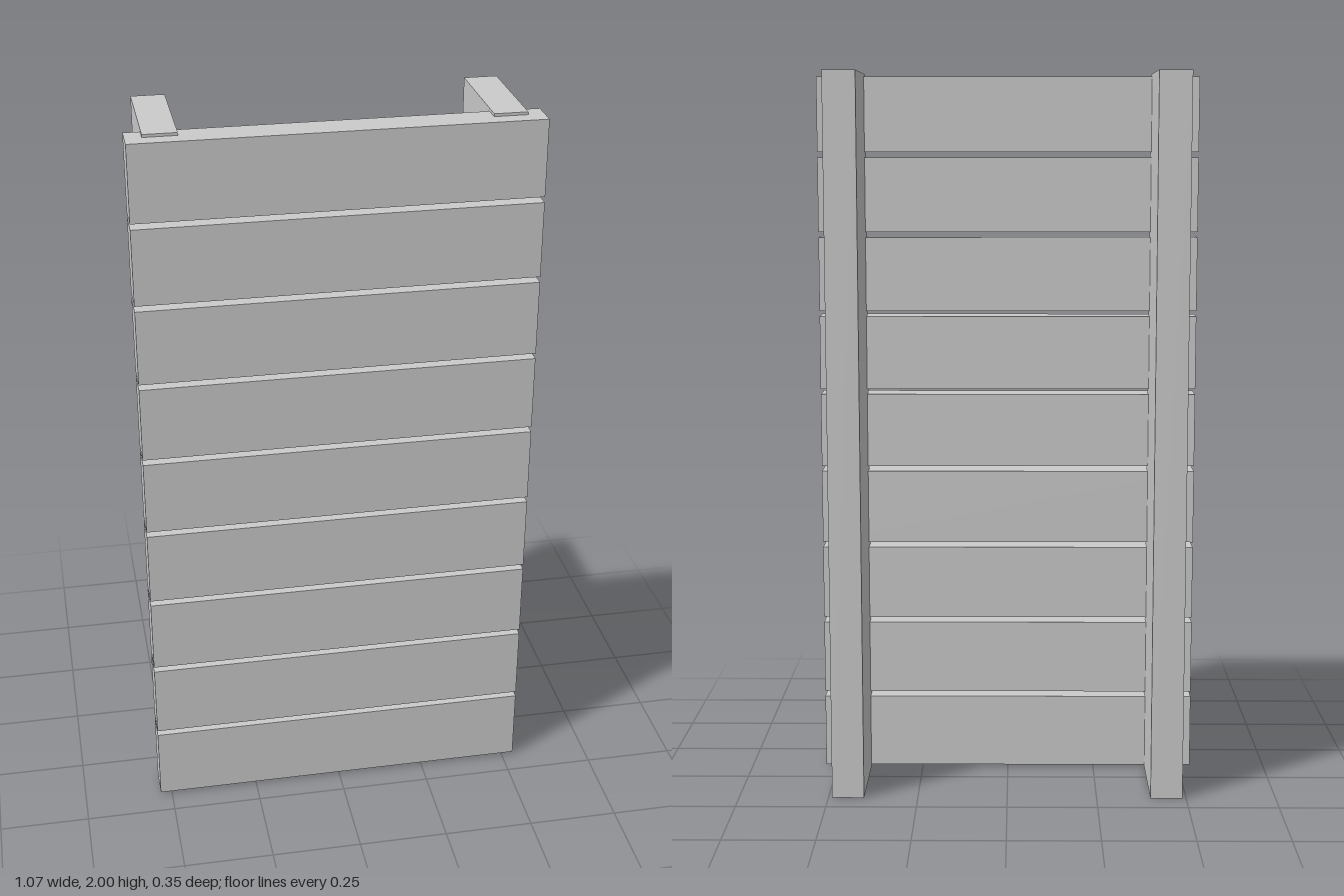
import * as THREE from 'three';

export function createModel() {
  const group = new THREE.Group();
  const material = new THREE.MeshStandardMaterial({ color: 0xcccccc, flatShading: true });

  const addBox = (name, size, position) => {
    const mesh = new THREE.Mesh(new THREE.BoxGeometry(...size), material);
    mesh.name = name;
    mesh.position.set(...position);
    group.add(mesh);
  };

  // Two full-height posts, let halfway into the planks
  addBox('leftPost', [0.089, 2, 0.311], [0.445, 1, -0.022]);
  addBox('rightPost', [0.089, 2, 0.311], [-0.445, 1, -0.022]);

  // Horizontal planks across the front, with narrow gaps
  const count = 9;
  const pitch = 2 / count;
  for (let i = 0; i < count; i++) {
    addBox(`plank${i + 1}`, [1.066, 0.207, 0.089], [0, (i + 0.5) * pitch, 0.133]);
  }

  return group;
}
